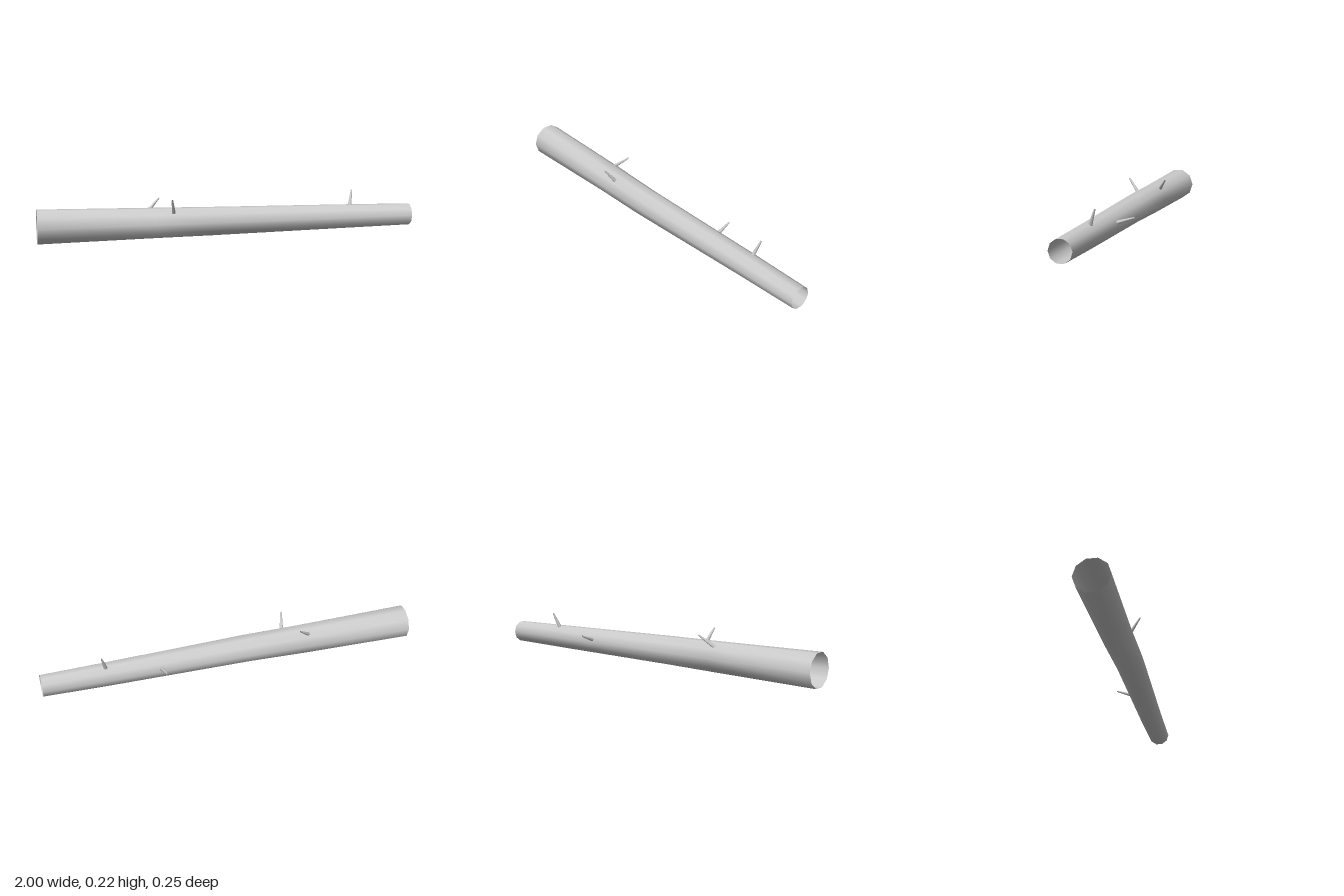
import * as THREE from 'three';

const bark = new THREE.MeshStandardMaterial({ color: 0xcccccc, side: THREE.DoubleSide });
bark.name = 'pale grey bark';

// Open ten-sided tube lofted along x; each section is [x, centre z, radius]
function createTrunk() {
  const sections = [
    [-1, 0.0145, 0.0895],
    [-0.4, 0.019, 0.08],
    [-0.1, 0.027, 0.0755],
    [0.65, 0.0225, 0.064],
    [1, 0.0245, 0.0582],
  ];
  const sides = 10;
  const positions = [];
  const indices = [];
  sections.forEach(([x, z, r], s) => {
    // the centre line rises very slightly towards the thin end
    const y = 0.0868 + 0.001 * (x + 1);
    for (let i = 0; i < sides; i++) {
      const a = (i / sides) * Math.PI * 2;
      positions.push(x, y + r * Math.sin(a), z + r * Math.cos(a));
      if (s === 0) continue;
      const j = (i + 1) % sides;
      const a0 = (s - 1) * sides + i, a1 = (s - 1) * sides + j;
      const b0 = s * sides + i, b1 = s * sides + j;
      indices.push(a0, b0, a1, a1, b0, b1);
    }
  });
  const geometry = new THREE.BufferGeometry();
  geometry.setAttribute('position', new THREE.Float32BufferAttribute(positions, 3));
  geometry.setIndex(indices);
  geometry.computeVertexNormals();
  const trunk = new THREE.Mesh(geometry, bark);
  trunk.name = 'trunk';
  return trunk;
}

// Tapered twig growing from the trunk's centre line out to its tip
function createTwig(base, tip) {
  const from = new THREE.Vector3(...base);
  const to = new THREE.Vector3(...tip);
  const direction = to.clone().sub(from);
  const geometry = new THREE.CylinderGeometry(0.004, 0.015, direction.length(), 8, 1, true);
  const twig = new THREE.Mesh(geometry, bark);
  twig.position.copy(from).add(to).multiplyScalar(0.5);
  twig.quaternion.setFromUnitVectors(new THREE.Vector3(0, 1, 0), direction.normalize());
  return twig;
}

export function createModel() {
  const log = new THREE.Group();
  log.name = 'hollowLog';
  log.add(createTrunk());

  const twigs = [
    [[-0.49, 0.086, 0.02], [-0.362, 0.204, -0.073]],
    [[-0.295, 0.086, 0.027], [-0.322, 0.216, 0.121]],
    [[0.39, 0.086, 0.021], [0.379, 0.132, -0.123]],
    [[0.655, 0.088, 0.023], [0.69, 0.224, -0.028]],
  ];
  twigs.forEach(([base, tip], i) => {
    const twig = createTwig(base, tip);
    twig.name = `twig${i + 1}`;
    log.add(twig);
  });
  return log;
}
